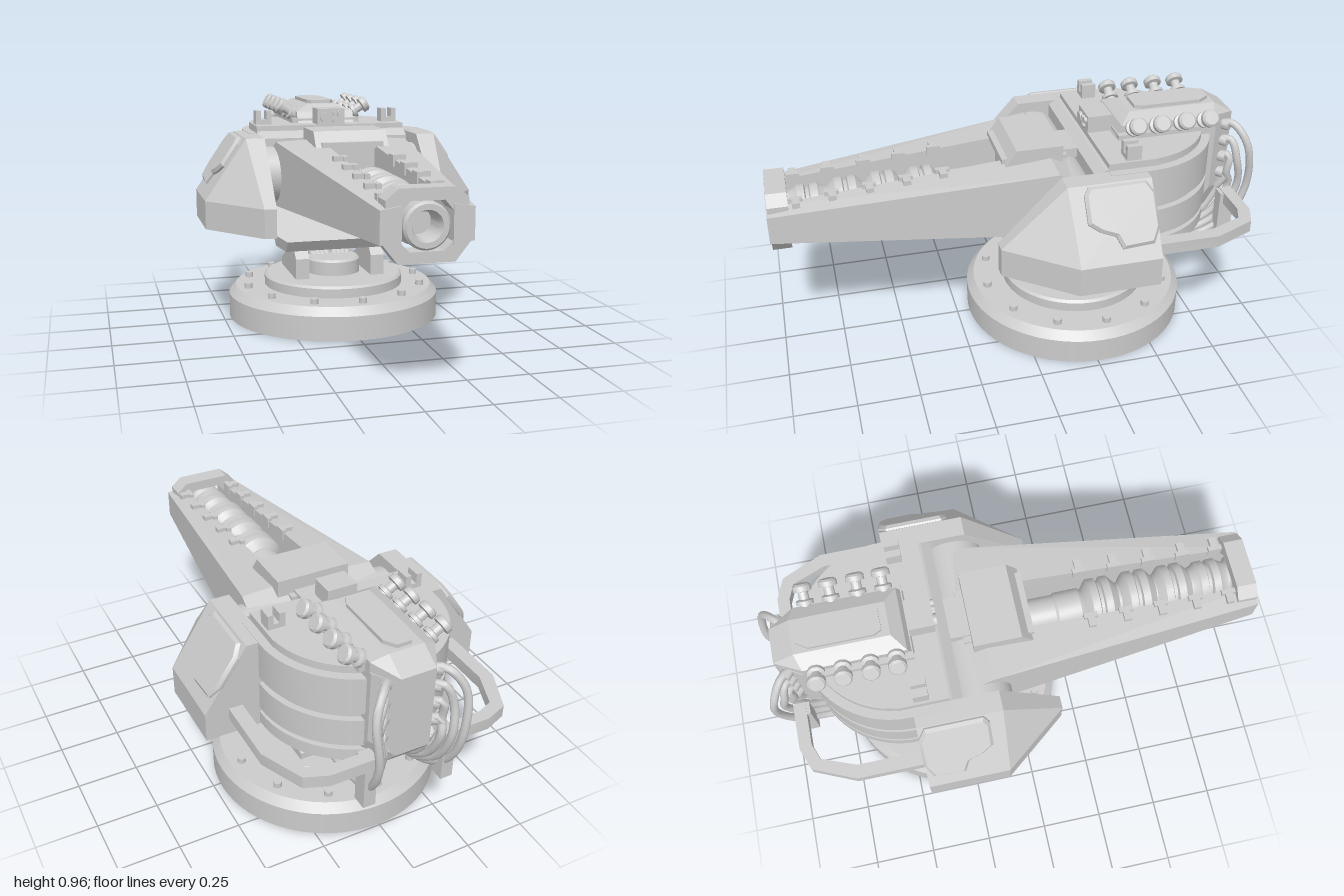
import * as THREE from 'three';
import { toCreasedNormals } from 'three/addons/utils/BufferGeometryUtils.js';
import { ConvexGeometry } from 'three/addons/geometries/ConvexGeometry.js';

const mat = new THREE.MeshStandardMaterial({ color: 0xcccccc });
const V = (x, y, z) => new THREE.Vector3(x, y, z);
const shapeOf = pts => new THREE.Shape(pts.map(p => new THREE.Vector2(p[0], p[1])));

export function createModel() {
  const root = new THREE.Group();
  root.name = 'turret';

  const add = (name, geo, parent = root, crease = 0.45) => {
    const m = new THREE.Mesh(toCreasedNormals(geo, crease), mat);
    m.name = name;
    parent.add(m);
    return m;
  };
  const box = (x0, x1, y0, y1, z0, z1) =>
    new THREE.BoxGeometry(x1 - x0, y1 - y0, z1 - z0).translate((x0 + x1) / 2, (y0 + y1) / 2, (z0 + z1) / 2);
  const extrude = (pts, depth) => new THREE.ExtrudeGeometry(shapeOf(pts), { depth, bevelEnabled: false });
  // outline of [x, z] raised from y0 to y1
  const slab = (pts, y0, y1) =>
    extrude(pts.map(([x, z]) => [x, -z]), y1 - y0).rotateX(-Math.PI / 2).translate(0, y0, 0);
  // side outline of [z, y] spanning x0 to x1
  const sidePrism = (pts, x0, x1) =>
    extrude(pts.map(([z, y]) => [-z, y]), x1 - x0).rotateY(Math.PI / 2).translate(x0, 0, 0);
  const hull = pts => new ConvexGeometry(pts.map(p => V(...p)));
  const symHull = pts => hull(pts.flatMap(([x, y, z]) => [[x, y, z], [-x, y, z]]));
  const lathe = (pts, n) => new THREE.LatheGeometry(pts.map(p => new THREE.Vector2(p[0], p[1])), n);

  // Base: stepped turntable, a hollow shell open beneath
  const base = new THREE.Group();
  base.name = 'base';
  base.position.z = -0.275;
  root.add(base);
  add('turntable', lathe([[0, 0.25], [0.11, 0.25], [0.115, 0.18], [0.29, 0.18], [0.302, 0.17], [0.302, 0.13],
    [0.435, 0.13], [0.458, 0.1], [0.458, 0], [0.47, 0], [0.47, 0.105], [0.44, 0.14], [0.31, 0.14], [0.31, 0.18],
    [0.3, 0.19], [0.12, 0.19], [0.12, 0.25], [0.11, 0.26], [0, 0.26]], 64), base);
  for (let i = 0; i < 12; i++) {
    const a = (i * 30 + 4.5) * Math.PI / 180;
    add('baseBolt', new THREE.CylinderGeometry(0.017, 0.017, 0.04, 16)
      .translate(0.395 * Math.sin(a), 0.143, 0.395 * Math.cos(a)), base);
  }

  // Rounded engine drum: flat front, semicircular back
  const drum = (r, y0, y1) => {
    const pts = [[-r, -0.3], [r, -0.3]];
    for (let i = 0; i <= 32; i++) {
      const a = i / 32 * Math.PI;
      pts.push([r * Math.cos(a), -0.46 - r * Math.sin(a)]);
    }
    return slab(pts, y0, y1);
  };
  [[0.3, 0.385, 0.41], [0.325, 0.41, 0.44], [0.345, 0.44, 0.82], [0.37, 0.45, 0.5], [0.37, 0.52, 0.635],
    [0.37, 0.665, 0.82], [0.335, 0.82, 0.85]].forEach(([r, a, b]) => add('engineDrum', drum(r, a, b)));

  // Central housing with sloped front deck
  add('housing', sidePrism([[-0.25, 0.44], [-0.25, 0.8], [-0.29, 0.825], [-0.37, 0.85], [-0.5, 0.85], [-0.5, 0.44]],
    -0.335, 0.335), root, 0.1);
  add('pivotDrum', new THREE.CylinderGeometry(0.12, 0.12, 0.68, 32).rotateZ(Math.PI / 2).translate(0, 0.655, -0.17));
  const flap = add('frontFlap', extrude([[-0.25, 0], [0.25, 0], [0.288, 0.04], [0.288, 0.23], [-0.288, 0.23],
    [-0.288, 0.04]], 0.06));
  flap.rotation.x = -0.95;
  flap.position.set(0, 0.325, -0.105);

  // Engine cover and rear spine
  add('engineCover', symHull([[0.13, 0.84, -0.39], [0.13, 0.84, -0.82], [0.07, 0.84, -0.925], [0.13, 0.9, -0.42],
    [0.13, 0.9, -0.82], [0.07, 0.88, -0.925], [0.07, 0.93, -0.47], [0.07, 0.93, -0.84]]), root, 0.1);
  add('coverPanel', slab([[-0.045, -0.5], [0.045, -0.5], [0.06, -0.53], [0.06, -0.78], [0.03, -0.825], [-0.03, -0.825],
    [-0.06, -0.78], [-0.06, -0.53]], 0.92, 0.945));
  add('coverFoot', box(-0.155, 0.155, 0.845, 0.87, -0.79, -0.4));
  add('rearSpine', symHull([[0.13, 0.86, -0.75], [0.13, 0.86, -0.83], [0.07, 0.86, -0.925], [0.13, 0.56, -0.83],
    [0.07, 0.54, -0.925], [0.13, 0.46, -0.76], [0.08, 0.45, -0.85]]), root, 0.1);

  // Sensor box with four lenses
  add('sensorBox', box(-0.062, 0.062, 0.845, 0.92, -0.4, -0.3));
  [[-0.025, 0.882, 0.024], [0.02, 0.868, 0.013], [0.04, 0.898, 0.013], [0.015, 0.9, 0.009]].forEach(([x, y, r]) =>
    add('sensorLens', new THREE.CylinderGeometry(r, r, 0.02, 16).rotateX(Math.PI / 2).translate(x, y, -0.298)));

  // Barrel with four paired cooling sleeves
  const prof = [[0, -0.2], [0.07, -0.2], [0.07, 0.19], [0.077, 0.2], [0.077, 0.295]];
  [[0.31, 0.106], [0.465, 0.105], [0.615, 0.1], [0.765, 0.088]].forEach(([z, r]) =>
    prof.push([0.068, z], [r - 0.008, z + 0.022], [r, z + 0.03], [r, z + 0.06], [r - 0.014, z + 0.065],
      [r - 0.014, z + 0.078], [r, z + 0.083], [r, z + 0.113], [r - 0.008, z + 0.12], [0.068, z + 0.145]));
  prof.push([0.068, 0.92], [0.083, 0.93], [0.083, 0.99], [0.075, 1], [0.055, 1], [0.045, 0.97], [0.045, 0.9], [0, 0.9]);
  add('barrel', lathe(prof, 32).rotateX(Math.PI / 2).translate(0, 0.64, 0));

  // Muzzle clamps
  add('upperMuzzleClamp', extrude([[0.145, 0.69], [0.145, 0.73], [0.1, 0.768], [-0.1, 0.768], [-0.145, 0.73],
    [-0.145, 0.69], [-0.09, 0.69], [-0.06, 0.725], [0.06, 0.725], [0.09, 0.69]], 0.08).translate(0, 0, 0.915));
  add('lowerMuzzleClamp', extrude([[-0.155, 0.585], [-0.1, 0.515], [0.1, 0.515], [0.155, 0.585], [0.09, 0.585],
    [0.06, 0.555], [-0.06, 0.555], [-0.09, 0.585]], 0.075).translate(0, 0, 0.92));

  // Shroud roof and core
  add('shroudRoof', sidePrism([[0.07, 0.785], [0.02, 0.855], [-0.17, 0.855], [-0.17, 0.785]], -0.155, 0.155));
  add('roofLip', box(-0.13, 0.13, 0.785, 0.812, 0, 0.075));
  add('roofTail', box(-0.085, 0.085, 0.76, 0.8, -0.26, -0.15));
  add('shroudCore', box(-0.11, 0.11, 0.525, 0.79, -0.2, 0.05));

  // Everything below is built on the left and mirrored
  const side = new THREE.Group();
  side.name = 'leftSide';

  // Tapered shroud wall and its clips
  add('shroudWall', hull([[0.165, 0.7, 1], [0.09, 0.712, 1], [0.09, 0.572, 1], [0.165, 0.585, 1],
    [0.285, 0.8, -0.12], [0.1, 0.81, -0.12], [0.1, 0.52, -0.12], [0.285, 0.525, -0.12],
    [0.29, 0.76, -0.2], [0.1, 0.77, -0.2], [0.1, 0.54, -0.2], [0.29, 0.56, -0.2]]), side, 0.05);
  for (const z of [0.31, 0.455, 0.6, 0.745, 0.885]) {
    const y = 0.8 - z * 0.088;
    add('barrelClip', box(0.1, 0.145, y - 0.03, y + 0.016, z - 0.015, z + 0.015), side);
    add('barrelClipTooth', box(0.088, 0.108, y - 0.03, y + 0.016, z - 0.028, z + 0.028), side);
  }

  // Armour pod and sloped hatch
  add('armourPod', hull([[0.335, 0.44, 0.14], [0.385, 0.44, 0.14], [0.335, 0.56, 0.14], [0.385, 0.56, 0.14],
    [0.59, 0.44, -0.12], [0.59, 0.56, -0.12], [0.415, 0.818, -0.11], [0.335, 0.818, -0.11],
    [0.59, 0.44, -0.445], [0.59, 0.56, -0.445], [0.415, 0.818, -0.445], [0.335, 0.818, -0.445],
    [0.335, 0.44, -0.445]]), side, 0.05);
  const hatchPts = [[-0.18, 0.785], [-0.195, 0.805], [-0.41, 0.805], [-0.435, 0.77], [-0.435, 0.665], [-0.41, 0.62],
    [-0.3, 0.615], [-0.28, 0.655], [-0.22, 0.675], [-0.18, 0.7]].map(([z, y]) => [-z, (y - 0.56) * 1.19]).reverse();
  const hatch = new THREE.ExtrudeGeometry(shapeOf(hatchPts),
    { depth: 0.012, bevelThickness: 0.012, bevelSize: 0.012, bevelSegments: 1 });
  hatch.applyMatrix4(new THREE.Matrix4().makeBasis(V(0, 0, -1), V(-0.56, 0.828, 0), V(0.828, 0.56, 0))
    .setPosition(0.586, 0.56, 0));
  add('podHatch', hatch, side);

  // Yoke arm, rear rail and its post
  add('yokeArm', sidePrism([[-0.14, 0.17], [-0.14, 0.28], [-0.25, 0.39], [-0.38, 0.39], [-0.38, 0.26], [-0.455, 0.22],
    [-0.455, 0.17]], 0.14, 0.2), side);
  add('rearRail', slab([[0.495, -0.42], [0.495, -0.72], [0.42, -0.89], [0.33, -0.925], [0.14, -0.925], [0.14, -0.875],
    [0.32, -0.875], [0.385, -0.85], [0.44, -0.71], [0.44, -0.42]], 0.508, 0.558), side);
  add('railPost', box(0.14, 0.19, 0.335, 0.555, -0.922, -0.86), side);

  // Forked lug on the deck
  add('deckLug', extrude([[0.255, 0.84], [0.325, 0.84], [0.325, 0.91], [0.302, 0.91], [0.302, 0.87], [0.278, 0.87],
    [0.278, 0.91], [0.255, 0.91]], 0.06).translate(0, 0, -0.435), side);

  // Angled plugs along the cover
  const plug = lathe([[0, 0], [0.022, 0], [0.022, 0.035], [0.034, 0.035], [0.034, 0.05], [0.02, 0.055], [0.02, 0.085],
    [0.036, 0.088], [0.036, 0.108], [0.028, 0.116], [0, 0.116]], 20);
  for (const z of [-0.465, -0.565, -0.67, -0.77]) {
    const p = add('plug', plug, side);
    p.rotation.z = -1.02;
    p.position.set(0.11, 0.872, z);
  }

  // Cables fan from the spine, down and under to the neck
  for (let i = 0; i < 4; i++) {
    const y = 0.84 - i * 0.075, back = -0.98 + i * 0.028, x = 0.17 - i * 0.025;
    const path = new THREE.CatmullRomCurve3([V(0.08, y, -0.86), V(0.125, y + 0.01, -0.91), V(x + 0.01, y - 0.07, back + 0.02),
      V(x, 0.57, back), V(x - 0.01, 0.43, -0.92 + i * 0.03), V(x - 0.03, 0.34 + i * 0.008, -0.8 + i * 0.03),
      V(0.13 - i * 0.03, 0.3 + i * 0.007, -0.58), V(0.1 - i * 0.025, 0.3, -0.4), V(0.07 - i * 0.018, 0.24, -0.3)]);
    add('cable', new THREE.TubeGeometry(path, 48, 0.016, 10), side, 0.8);
    add('cableSocket', new THREE.CylinderGeometry(0.022, 0.022, 0.04, 16).rotateZ(Math.PI / 2).rotateY(0.7)
      .translate(0.105, y, -0.885), side);
  }

  root.add(side);
  const mirror = side.clone();
  mirror.name = 'rightSide';
  mirror.scale.x = -1;
  root.add(mirror);
  return root;
}
